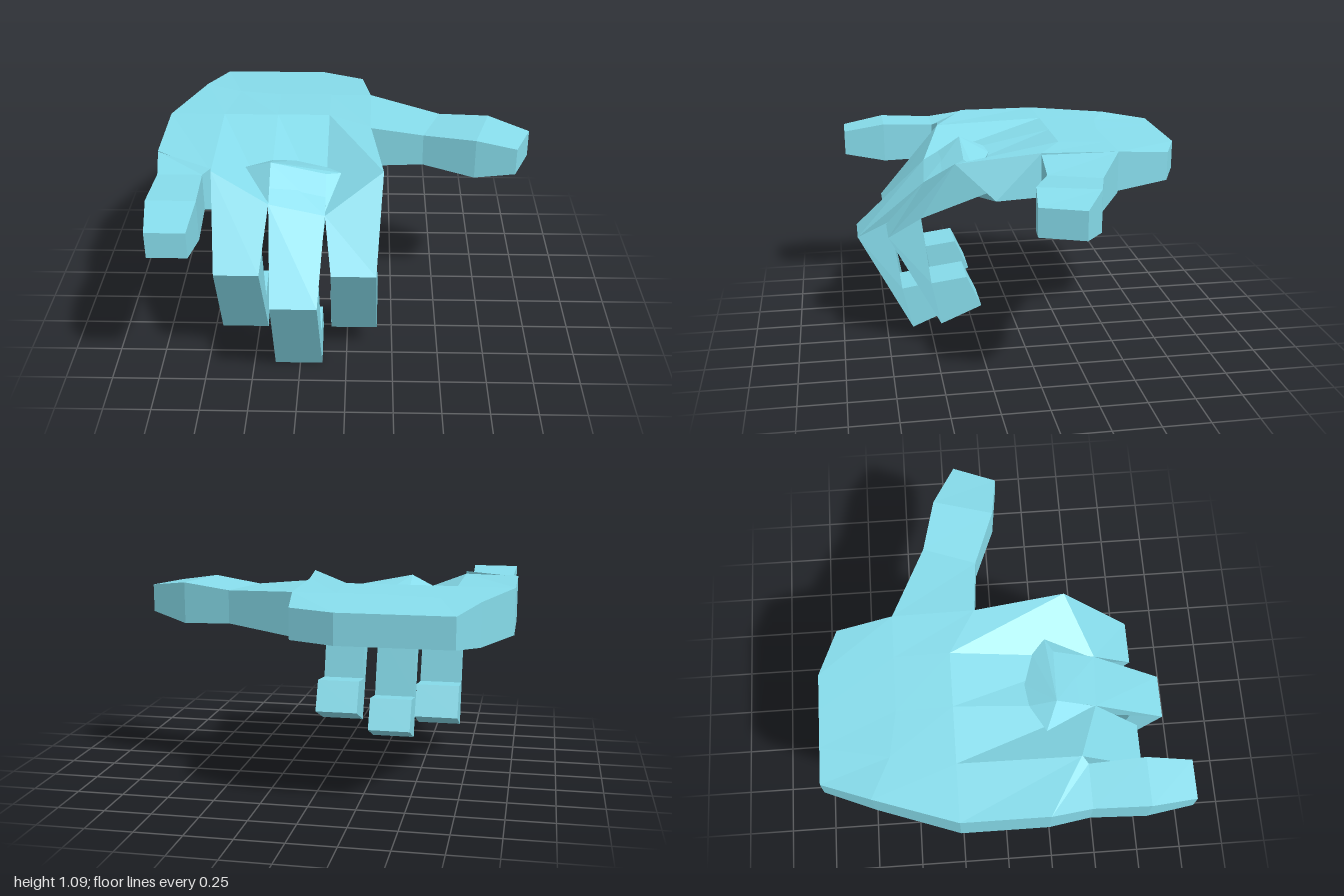
import * as THREE from 'three';
import { ConvexGeometry } from 'three/addons/geometries/ConvexGeometry.js';

const skin = new THREE.MeshStandardMaterial({ color: 0x87ddec, flatShading: true });

// Skin a run of rings. Each ring is an upper row of points followed by the
// matching lower row, both running along x; the two ends are closed.
function loft(name, rings) {
  const n = rings[0].length / 2;
  const loops = rings.map(r => [...r.slice(0, n), ...r.slice(n).reverse()]);
  const pos = [];
  const quad = (a, b, c, d) => pos.push(...a, ...b, ...c, ...a, ...c, ...d);
  const m = 2 * n;
  for (let k = 0; k + 1 < loops.length; k++) {
    for (let i = 0; i < m; i++) {
      const j = (i + 1) % m;
      quad(loops[k][i], loops[k][j], loops[k + 1][j], loops[k + 1][i]);
    }
  }
  const first = loops[0], last = loops[loops.length - 1];
  for (let i = 0; i < n - 1; i++) {
    quad(first[i + 1], first[i], first[m - 1 - i], first[m - 2 - i]);
    quad(last[i], last[i + 1], last[m - 2 - i], last[m - 1 - i]);
  }
  // Turn the faces outward if the rings ran the other way
  let volume = 0;
  const v = i => new THREE.Vector3(pos[i], pos[i + 1], pos[i + 2]);
  for (let i = 0; i < pos.length; i += 9) volume += v(i).dot(v(i + 3).cross(v(i + 6)));
  if (volume < 0) {
    for (let i = 0; i < pos.length; i += 9) {
      for (let c = 0; c < 3; c++) [pos[i + 3 + c], pos[i + 6 + c]] = [pos[i + 6 + c], pos[i + 3 + c]];
    }
  }
  const geo = new THREE.BufferGeometry();
  geo.setAttribute('position', new THREE.Float32BufferAttribute(pos, 3));
  geo.computeVertexNormals();
  const mesh = new THREE.Mesh(geo, skin);
  mesh.name = name;
  return mesh;
}

// Ring with vertical sides above a plan outline of [x, z] points
const slab = (plan, top, bottom) => [
  ...plan.map(([x, z]) => [x, top, z]),
  ...plan.map(([x, z]) => [x, bottom, z]),
];

// Ring across a curled finger: x range, outer [y, z] and inner [y, z]
const joint = (x0, x1, outer, inner) => [
  [x0, ...outer], [x1, ...outer], [x0, ...inner], [x1, ...inner],
];

export function createModel() {
  const hand = new THREE.Group();
  hand.name = 'hand';

  // Palm, with its upper face dipping toward the middle knuckles
  hand.add(loft('palm', [
    slab([[-0.75, -0.935], [-0.56, -0.935], [-0.36, -0.935], [-0.17, -0.935], [0.07, -0.835]], 1.05, 0.89),
    slab([[-0.85, -0.68], [-0.64, -0.58], [-0.4, -0.54], [-0.11, -0.54], [0.12, -0.54]], 1.08, 0.855),
    slab([[-1, -0.25], [-0.7, -0.25], [-0.4, -0.25], [-0.11, -0.25], [0.12, -0.11]], 1.09, 0.84),
    [
      [-1, 1.09, 0.2], [-0.7, 1.07, 0.38], [-0.4, 0.94, 0.49], [-0.11, 0.89, 0.515], [0.19, 1.07, 0.37],
      [-1, 0.84, 0.2], [-0.7, 0.85, 0.36], [-0.4, 0.84, 0.24], [-0.11, 0.84, 0.2], [0.19, 0.85, 0.15],
    ],
  ]));

  // Straight finger
  hand.add(loft('straightFinger', [
    slab([[-1, 0.2], [-0.7, 0.38]], 1.085, 0.84),
    slab([[-0.97, 0.41], [-0.74, 0.41]], 1.065, 0.86),
    slab([[-0.98, 0.7], [-0.73, 0.7]], 1.08, 0.855),
    slab([[-0.95, 0.935], [-0.75, 0.935]], 1.04, 0.9),
  ]));

  // Thumb
  hand.add(loft('thumb', [
    slab([[0.12, -0.54], [0.12, -0.11]], 1.08, 0.845),
    slab([[0.51, -0.36], [0.41, -0.085]], 1.05, 0.87),
    slab([[0.78, -0.29], [0.69, 0.025]], 1.075, 0.85),
    slab([[1, -0.17], [0.91, 0.055]], 1.04, 0.89),
  ]));

  // Outer curled fingers, each from its sloping knuckle edge
  const curled = (name, a, b, x0, x1) => hand.add(loft(name, [
    [a, b, [a[0], 0.9, 0.2], [b[0], 0.9, 0.2]],
    joint(x0, x1, [0.665, 0.735], [0.765, 0.555]),
    joint(x0 - 0.01, x1 + 0.01, [0.145, 0.46], [0.39, 0.51]),
    joint(x0 - 0.01, x1 + 0.01, [0.24, 0.235], [0.415, 0.315]),
  ]));
  curled('curledFingerRight', [-0.7, 1.07, 0.38], [-0.4, 0.94, 0.49], -0.67, -0.44);
  curled('curledFingerLeft', [-0.11, 0.89, 0.515], [0.19, 1.07, 0.37], -0.075, 0.155);

  // Middle curled finger, longer and lower
  hand.add(loft('curledFingerMiddle', [
    [[-0.4, 1.06, 0.28], [-0.11, 1.0, 0.29], [-0.4, 0.89, 0.15], [-0.11, 0.89, 0.15]],
    [[-0.4, 0.94, 0.49], [-0.11, 0.89, 0.515], [-0.4, 0.83, 0.4], [-0.11, 0.82, 0.4]],
    joint(-0.375, -0.14, [0.575, 0.895], [0.66, 0.71]),
    joint(-0.385, -0.13, [0.005, 0.6], [0.25, 0.655]),
    joint(-0.385, -0.13, [0.1, 0.375], [0.28, 0.46]),
  ]));

  // Raised middle knuckle breaking through the back of the hand
  const bump = [
    [-0.4, 1.07, 0.28], [-0.11, 1.01, 0.29], [-0.54, 1.01, 0.22], [-0.03, 0.995, 0.25],
    [-0.4, 1.01, 0.14], [-0.28, 1.0, 0.125], [-0.11, 0.99, 0.18],
    [-0.4, 0.94, 0.48], [-0.11, 0.89, 0.5], [-0.4, 0.89, 0.2], [-0.11, 0.89, 0.2],
  ].map(p => new THREE.Vector3(...p));
  const knuckle = new THREE.Mesh(new ConvexGeometry(bump), skin);
  knuckle.name = 'middleKnuckle';
  hand.add(knuckle);

  return hand;
}
